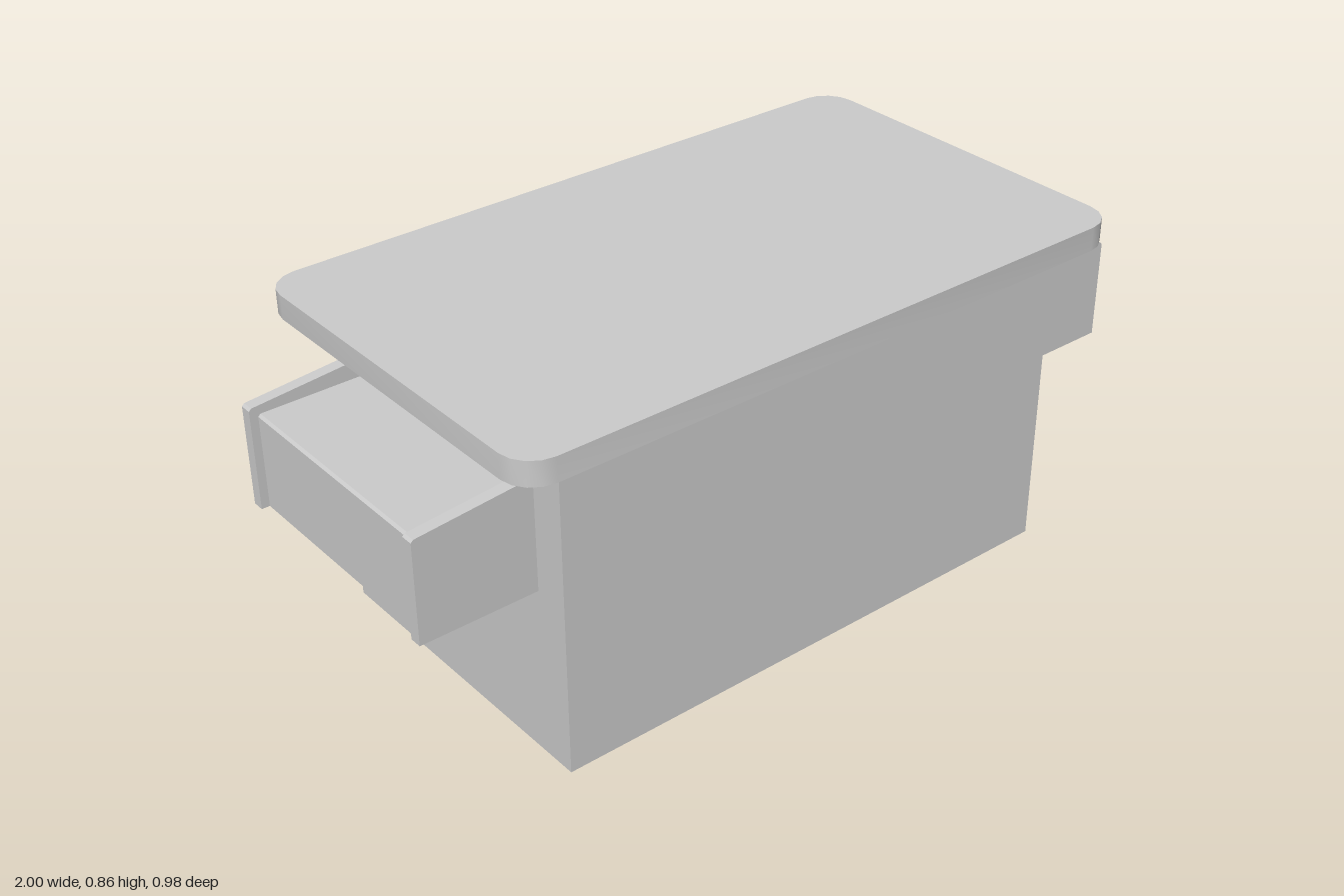
import * as THREE from 'three';
import { toCreasedNormals } from 'three/addons/utils/BufferGeometryUtils.js';

const solid = new THREE.MeshStandardMaterial({ color: 0xcccccc });
const thin = new THREE.MeshStandardMaterial({ color: 0xcccccc, side: THREE.DoubleSide });

const W = 0.71, D = 0.42, H = 0.8; // body half width, half depth, height

function mesh(name, geometry, material = solid) {
  const m = new THREE.Mesh(geometry, material);
  m.name = name;
  return m;
}

function roundedRect(hw, hh, r) {
  const s = new THREE.Shape();
  s.moveTo(hw, -hh + r);
  s.lineTo(hw, hh - r);
  s.absarc(hw - r, hh - r, r, 0, Math.PI / 2);
  s.absarc(-hw + r, hh - r, r, Math.PI / 2, Math.PI);
  s.absarc(-hw + r, -hh + r, r, Math.PI, Math.PI * 1.5);
  s.absarc(hw - r, -hh + r, r, Math.PI * 1.5, Math.PI * 2);
  return s;
}

// Flat-sided surface from a list of four-cornered faces
function quads(faces) {
  const pos = [];
  for (const [a, b, c, d] of faces) pos.push(...a, ...b, ...c, ...a, ...c, ...d);
  const g = new THREE.BufferGeometry();
  g.setAttribute('position', new THREE.Float32BufferAttribute(pos, 3));
  g.computeVertexNormals();
  return g;
}

// Section of a side wing: raised rails either side of a lower deck
const wing = { outer: 0.33, inner: 0.3, bottom: 0.43, deck: 0.665, railIn: 0.71, railOut: 0.685, end: 1, face: 0.98 };

function sideWall() {
  const s = new THREE.Shape([[-D, 0], [D, 0], [D, H], [-D, H]].map(p => new THREE.Vector2(...p)));
  const { outer: o, inner: i, bottom: b, deck: d, railIn: r } = wing;
  s.holes.push(new THREE.Path([[-o, b], [-o, r], [-i, r], [-i, d], [i, d], [i, r], [o, r], [o, b]]
    .map(p => new THREE.Vector2(...p))));
  return new THREE.ShapeGeometry(s);
}

// Hollow wing on the +x side, open towards the body
function wingGeometry() {
  const { outer: o, inner: i, bottom: b, deck: d, railIn: r, railOut: t, end: e, face: f } = wing;
  const c = 0.006; // small chamfer
  const faces = [
    [[W, d, i], [f - c, d, i], [f - c, d, -i], [W, d, -i]],
    [[f - c, d, i], [f, d - c, i], [f, d - c, -i], [f - c, d, -i]],
    [[f, b, i], [f, b, -i], [f, d - c, -i], [f, d - c, i]],
    [[W, b, -i], [f, b, -i], [f, b, i], [W, b, i]],
  ];
  for (const s of [1, -1]) {
    const rail = [
      [[W, b, o], [e, b, o], [e, t - c, o], [W, t - c, o]],
      [[W, t - c, o], [e, t - c, o], [e - c, t, o], [W, r, o]],
      [[W, r, o], [e - c, t, o], [e - c, t, i], [W, r, i]],
      [[e - c, t, o], [e, t - c, o], [e, t - c, i], [e - c, t, i]],
      [[e, b, o], [e, b, i], [e, t - c, i], [e, t - c, o]],
      [[W, b, i], [e, b, i], [e, b, o], [W, b, o]],
      [[W, d, i], [W, r, i], [e - c, t, i], [f - c, d, i]],
      [[f, b, i], [f, t, i], [e, t - c, i], [e, b, i]],
    ];
    for (const q of rail) {
      const m = q.map(([x, y, z]) => [x, y, z * s]);
      faces.push(s > 0 ? m : m.reverse());
    }
  }
  return quads(faces);
}

// Control wedge: its outer face leans out towards the bottom
function wedge(w, h, top, bottom, hole) {
  const rect = (cls, a, b) => new cls([[-a, -b], [a, -b], [a, b], [-a, b]].map(p => new THREE.Vector2(...p)));
  const s = rect(THREE.Shape, w / 2, h / 2);
  if (hole) s.holes.push(rect(THREE.Path, w * 0.28, h * 0.28));
  const g = new THREE.ExtrudeGeometry(s, { depth: 1, bevelEnabled: false });
  const p = g.attributes.position;
  for (let k = 0; k < p.count; k++) {
    const u = p.getY(k) / h + 0.5;
    p.setZ(k, p.getZ(k) * (bottom + (top - bottom) * u));
  }
  g.computeVertexNormals();
  return g;
}

export function createModel() {
  const model = new THREE.Group();
  model.name = 'counter';

  // Open-bottomed body
  const body = new THREE.Group();
  body.name = 'body';
  for (const s of [1, -1]) {
    const long = mesh(s > 0 ? 'frontWall' : 'backWall', new THREE.PlaneGeometry(2 * W, H), thin);
    long.position.set(0, H / 2, s * D);
    if (s < 0) long.rotation.y = Math.PI;
    const side = mesh(s > 0 ? 'leftWall' : 'rightWall', sideWall(), thin);
    side.position.x = s * W;
    side.rotation.y = s * Math.PI / 2;
    body.add(long, side);
  }
  model.add(body);

  // Tabletop with rounded corners
  const top = new THREE.ExtrudeGeometry(roundedRect(0.84, 0.49, 0.08), { depth: 0.06, bevelEnabled: false, curveSegments: 2 });
  top.rotateX(-Math.PI / 2);
  top.translate(0, H, 0);
  model.add(mesh('tabletop', toCreasedNormals(top, 0.9)));

  // Side wings
  for (const s of [1, -1]) {
    const w = mesh(s > 0 ? 'leftWing' : 'rightWing', wingGeometry(), thin);
    if (s < 0) w.rotation.y = Math.PI;
    model.add(w);
  }

  // Control panel on the back
  const panel = new THREE.Group();
  panel.name = 'controlPanel';
  const bevel = 0.007;
  const plate = new THREE.ExtrudeGeometry(roundedRect(0.15 - bevel, 0.273 - bevel, 0.025), {
    depth: 0.022 - bevel, bevelThickness: bevel, bevelSize: bevel, bevelSegments: 1, curveSegments: 3,
  });
  panel.add(mesh('plate', toCreasedNormals(plate, 0.5)));
  for (const x of [-0.052, 0.052]) {
    const b = mesh('button', wedge(0.055, 0.07, 0.004, 0.018));
    b.position.set(x, 0.137, 0.022);
    panel.add(b);
  }
  const socket = mesh('socketFrame', wedge(0.08, 0.07, 0.009, 0.018, true));
  socket.position.set(0, -0.098, 0.022);
  panel.add(socket);
  panel.position.set(0, 0.437, -D);
  panel.rotation.y = Math.PI;
  model.add(panel);

  return model;
}
